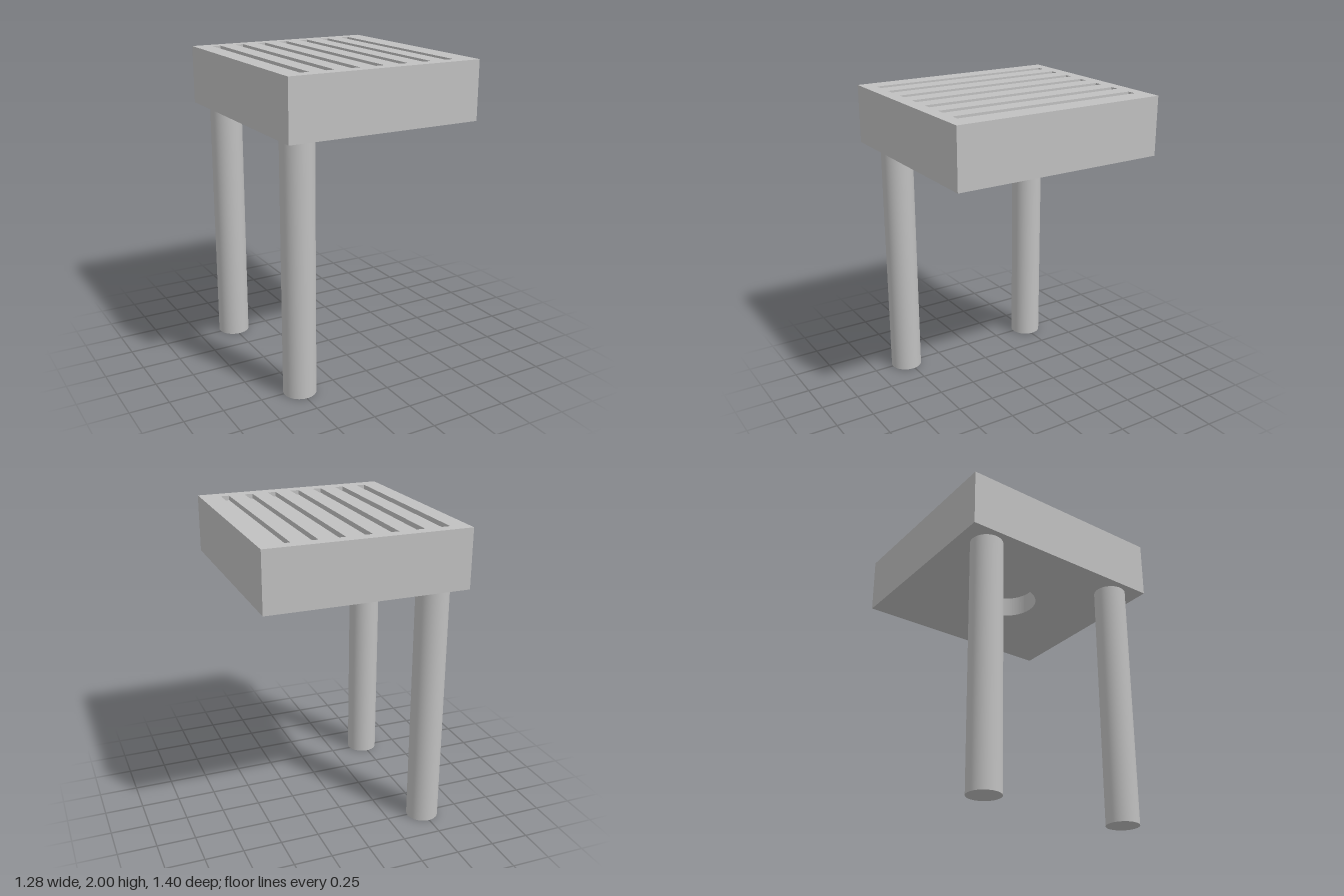
import * as THREE from 'three';

const WIDTH = 1.28, DEPTH = 1.4, BOTTOM = 1.625, TOP = 2;
const SOCKET_DEPTH = 0.14, SLOT_DEPTH = 0.03;

// Rectangle outline in plan, centred at (x, z)
function rectangle(PathType, x, z, w, d) {
  const path = new PathType();
  path.moveTo(x - w / 2, -z - d / 2);
  path.lineTo(x + w / 2, -z - d / 2);
  path.lineTo(x + w / 2, -z + d / 2);
  path.lineTo(x - w / 2, -z + d / 2);
  path.closePath();
  return path;
}

// Horizontal slab with holes, from height y0 to y1
function slab(name, holes, y0, y1, material) {
  const shape = rectangle(THREE.Shape, 0, 0, WIDTH, DEPTH);
  shape.holes.push(...holes);
  const geometry = new THREE.ExtrudeGeometry(shape, {
    depth: y1 - y0, bevelEnabled: false, curveSegments: 48,
  });
  geometry.rotateX(-Math.PI / 2);
  geometry.translate(0, y0, 0);
  const mesh = new THREE.Mesh(geometry, material);
  mesh.name = name;
  return mesh;
}

export function createModel() {
  const model = new THREE.Group();
  model.name = 'slottedTable';
  const grey = new THREE.MeshStandardMaterial({ color: 0xc0c0c0 });
  grey.name = 'light grey';

  // Block: socketed underside, solid core, slotted top
  const socket = new THREE.Path();
  socket.absarc(0, 0, 0.205, 0, Math.PI * 2, true);
  const slots = [];
  for (let i = -3; i <= 3; i++) {
    slots.push(rectangle(THREE.Path, -0.01 + i * 0.1625, -0.004, 0.056, 1.244));
  }
  const block = new THREE.Group();
  block.name = 'block';
  block.add(
    slab('socketedUnderside', [socket], BOTTOM, BOTTOM + SOCKET_DEPTH, grey),
    slab('solidCore', [], BOTTOM + SOCKET_DEPTH, TOP - SLOT_DEPTH, grey),
    slab('slottedTop', slots, TOP - SLOT_DEPTH, TOP, grey),
  );
  model.add(block);

  // Two round legs along one side
  for (const [name, z] of [['frontLeg', 0.515], ['backLeg', -0.51]]) {
    const leg = new THREE.Mesh(new THREE.CylinderGeometry(0.104, 0.104, BOTTOM, 48), grey);
    leg.name = name;
    leg.position.set(-0.495, BOTTOM / 2, z);
    model.add(leg);
  }
  return model;
}
